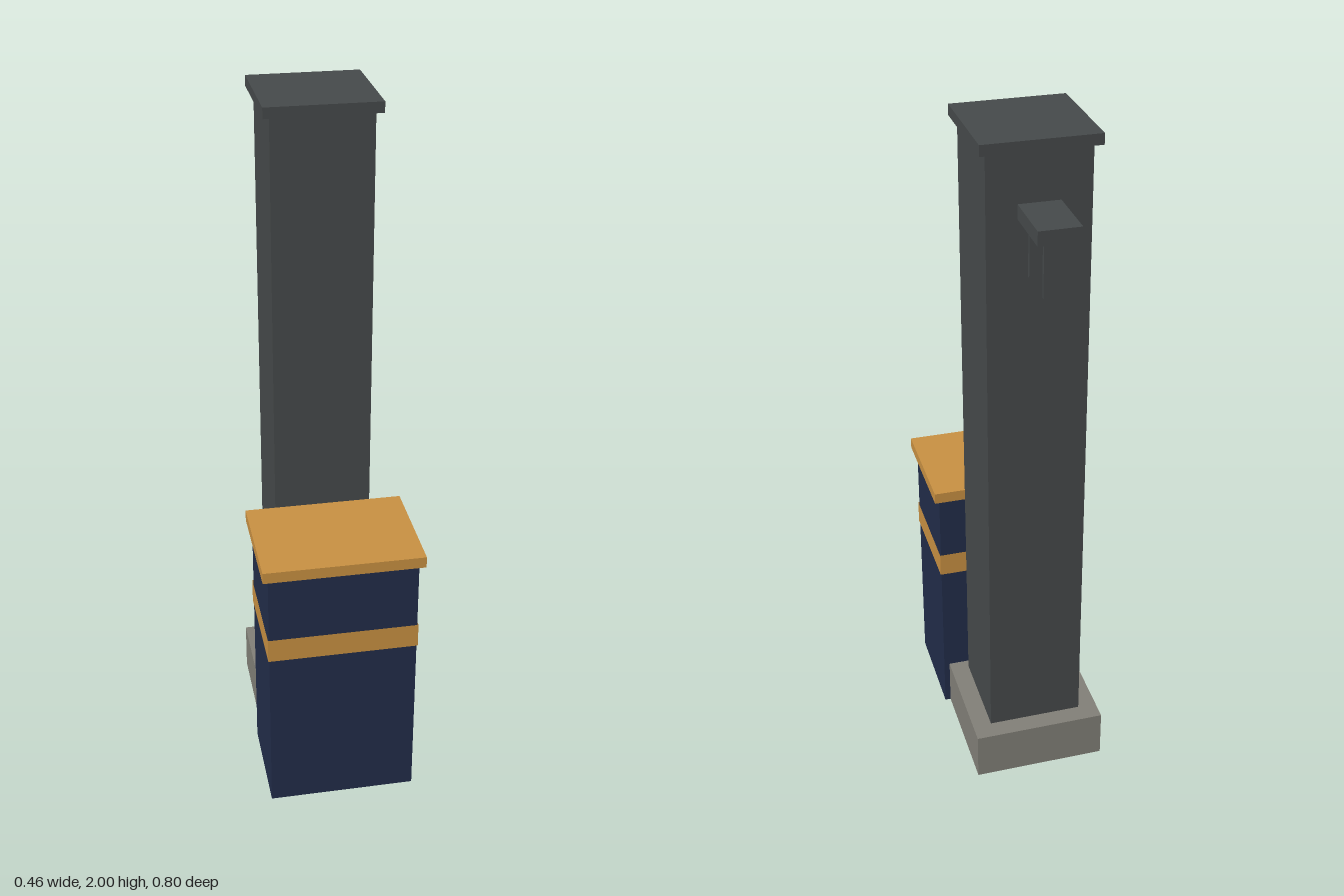
import * as THREE from 'three';

function material(name, color, side = THREE.FrontSide) {
  const m = new THREE.MeshStandardMaterial({ color, side });
  m.name = name;
  return m;
}

// Box given by its limits along each axis; symmetric in x
function box(name, mat, halfX, [y0, y1], [z0, z1]) {
  const geo = new THREE.BoxGeometry(halfX * 2, y1 - y0, z1 - z0);
  geo.translate(0, (y0 + y1) / 2, (z0 + z1) / 2);
  const mesh = new THREE.Mesh(geo, mat);
  mesh.name = name;
  return mesh;
}

// Remove box faces (0 +x, 1 -x, 2 top, 3 bottom, 4 front, 5 back) to leave a hollow shell
function openFaces(mesh, faces) {
  const index = Array.from(mesh.geometry.index.array);
  mesh.geometry.setIndex(index.filter((_, i) => !faces.includes(Math.floor(i / 6))));
  mesh.geometry.clearGroups();
  return mesh;
}

export function createModel() {
  const slate = material('slate metal', 0x464a4b);
  const navy = material('navy paint', 0x222d4a, THREE.DoubleSide);
  const ochre = material('ochre trim', 0xc99142, THREE.DoubleSide);
  const stone = material('stone grey', 0x828078, THREE.DoubleSide);

  const model = new THREE.Group();
  model.name = 'pillarWithCabinet';

  // Hollow plinth, tall square pillar and its cap
  model.add(
    openFaces(box('plinth', stone, 0.196, [0, 0.147], [-0.281, 0.11]), [3]),
    box('pillar', slate, 0.14, [0.147, 1.97], [-0.225, 0.056]),
    box('pillarCap', slate, 0.159, [1.97, 2], [-0.246, 0.073])
  );

  // Cabinet in front: open below, with a band around it and an overhanging lid
  const cabinet = new THREE.Group();
  cabinet.name = 'cabinet';
  cabinet.add(
    openFaces(box('cabinetBody', navy, 0.213, [0, 0.782], [0.083, 0.386]), [3]),
    openFaces(box('cabinetBand', ochre, 0.216, [0.508, 0.58], [0.08, 0.389]), [2, 3]),
    box('cabinetLid', ochre, 0.229, [0.782, 0.815], [0.067, 0.402])
  );
  model.add(cabinet);

  // Bracket at the back with two hanging plates
  const bracket = new THREE.Group();
  bracket.name = 'bracket';
  bracket.add(box('bracketArm', slate, 0.057, [1.79, 1.83], [-0.402, -0.225]));
  for (const [name, z] of [['innerPlate', -0.272], ['outerPlate', -0.397]]) {
    bracket.add(box(name, slate, 0.041, [1.65, 1.79], [z - 0.005, z + 0.005]));
  }
  model.add(bracket);

  return model;
}
